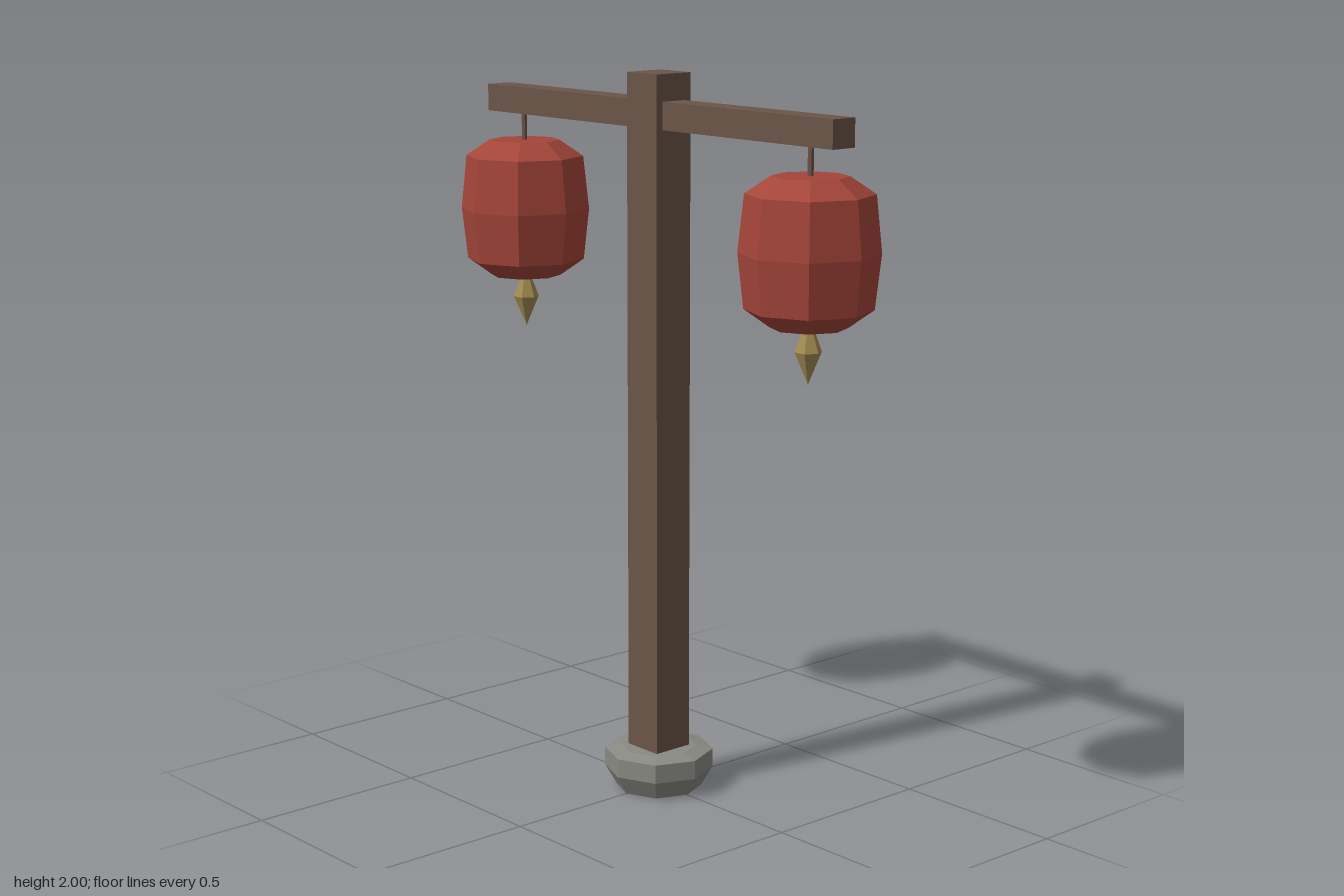
import * as THREE from 'three';

function material(name, color) {
  const m = new THREE.MeshStandardMaterial({ color });
  m.name = name;
  m.flatShading = true;
  return m;
}

export function createModel() {
  const wood = material('wood', 0x6b5548);
  const stone = material('stone', 0x8a8a84);
  const red = material('lantern red', 0xa5453a);
  const brass = material('brass', 0xa28c52);

  const add = (parent, name, geometry, mat, x = 0, y = 0, z = 0) => {
    const mesh = new THREE.Mesh(geometry, mat);
    mesh.name = name;
    mesh.position.set(x, y, z);
    parent.add(mesh);
    return mesh;
  };
  // Faceted turned shape from [radius, height] pairs, listed bottom to top
  const turned = (points, sides) =>
    new THREE.LatheGeometry(points.map(([r, y]) => new THREE.Vector2(r, y)), sides);

  const model = new THREE.Group();
  model.name = 'lanternPost';

  // Stone foot, post and crossbeam
  add(model, 'stoneBase', turned([[0, 0], [0.12, 0], [0.152, 0.055], [0.152, 0.108], [0.105, 0.118], [0, 0.118]], 8), stone);
  add(model, 'post', new THREE.BoxGeometry(0.12, 1.94, 0.12), wood, 0, 1.03, 0);
  add(model, 'crossbeam', new THREE.BoxGeometry(1.384, 0.075, 0.078), wood, 0, 1.89, 0);

  // Hanging lanterns, one at each end of the beam
  const lanternShape = turned([[0, 1.388], [0.1, 1.388], [0.167, 1.435], [0.183, 1.58], [0.167, 1.73], [0.1, 1.775], [0, 1.775]], 8);
  const tasselShape = turned([[0, 1.24], [0.036, 1.325], [0.01, 1.395]], 6);
  const rodShape = new THREE.CylinderGeometry(0.008, 0.008, 0.1, 6);
  for (const side of [-1, 1]) {
    const lantern = new THREE.Group();
    lantern.name = side > 0 ? 'leftLantern' : 'rightLantern';
    lantern.position.x = side * 0.577;
    add(lantern, 'hangingRod', rodShape, wood, 0, 1.815, 0);
    add(lantern, 'lanternBody', lanternShape, red);
    add(lantern, 'tassel', tasselShape, brass).rotation.y = Math.PI / 2;
    model.add(lantern);
  }
  return model;
}
